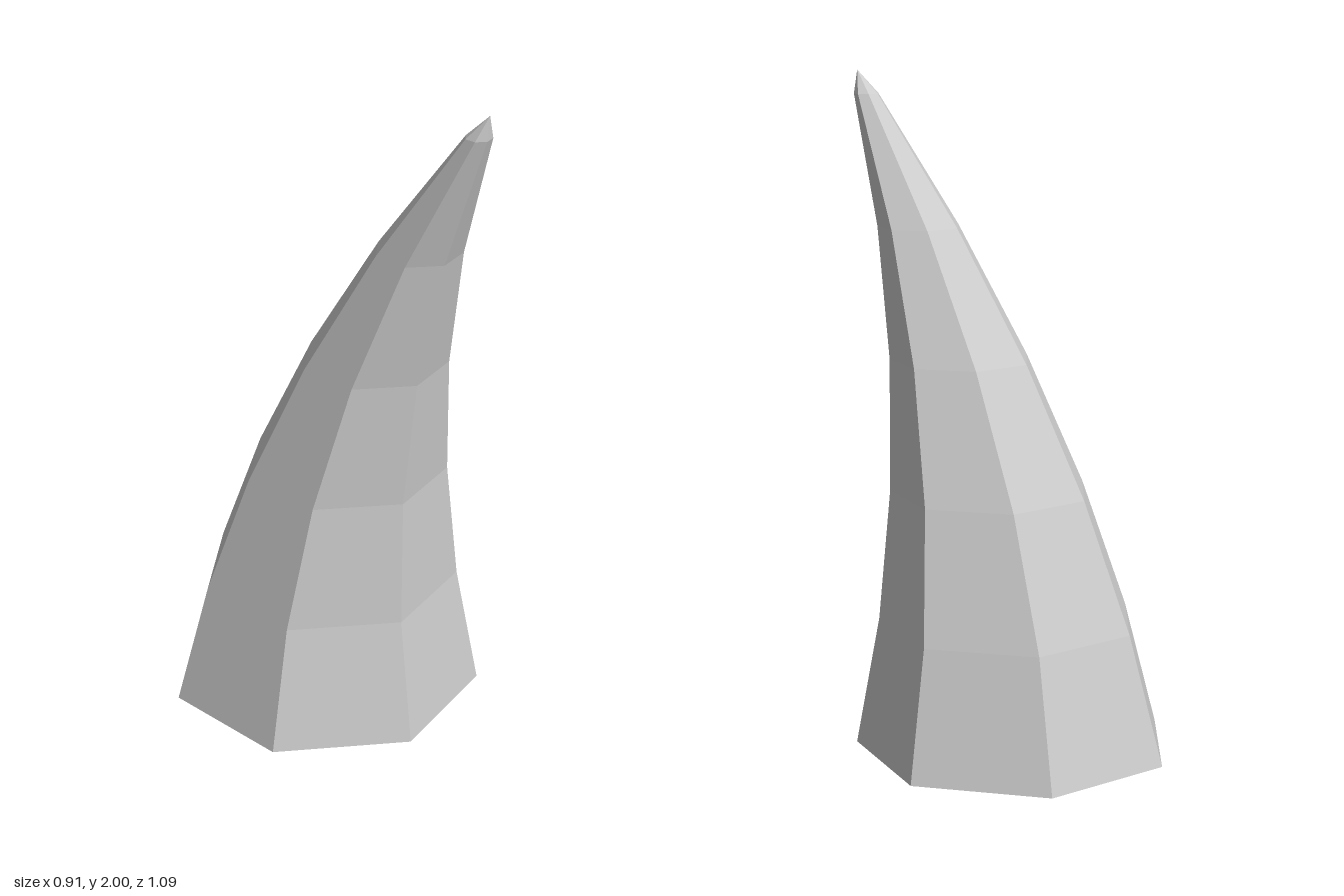
import * as THREE from 'three';

const SIDES = 7;
const RINGS = 6; // five even bands plus a short pointed tip

// Ring t = 0 (base) to 5, then the tip: height, radius and forward bend
function ring(t) {
  if (t === RINGS) return { y: 2, r: 0, z: 0.545 };
  return { y: 0.386 * t, r: 0.481 - 0.0885 * t, z: -0.075 + 0.0233 * t * t };
}

export function createModel() {
  const horn = new THREE.MeshStandardMaterial({ color: 0xcccccc, side: THREE.DoubleSide, flatShading: true });
  horn.name = 'horn grey';

  // Open seven-sided cone, each ring resized and slid forward along the curve
  const geo = new THREE.ConeGeometry(1, RINGS, SIDES, RINGS, true, Math.PI / 2);
  const pos = geo.attributes.position;
  for (let i = 0; i < pos.count; i++) {
    const t = Math.round(pos.getY(i) + RINGS / 2);
    const { y, r, z } = ring(t);
    const unit = Math.hypot(pos.getX(i), pos.getZ(i)) || 1;
    pos.setXYZ(i, -0.025 + (pos.getX(i) / unit) * r, y, z + (pos.getZ(i) / unit) * r);
  }
  geo.computeVertexNormals();

  const mesh = new THREE.Mesh(geo, horn);
  mesh.name = 'curvedHorn';
  const group = new THREE.Group();
  group.name = 'horn';
  group.add(mesh);
  return group;
}
